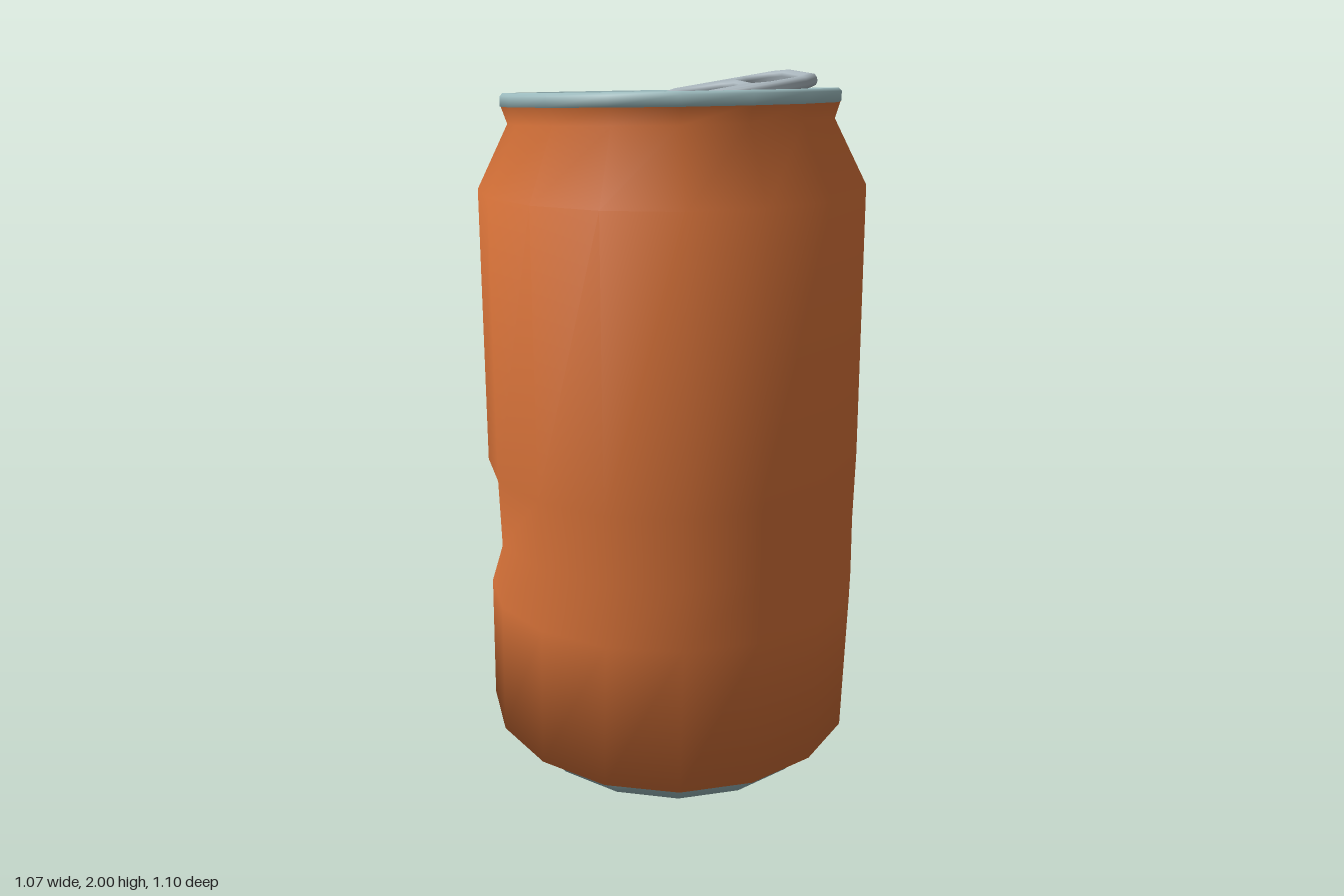
import * as THREE from 'three';
import { toCreasedNormals } from 'three/addons/utils/BufferGeometryUtils.js';

const SIDES = 16;
const DENT_ANGLE = Math.PI + 0.45; // back, turned toward -x
const DENT_SPREAD = 1.36;

// One 16-sided section: half width, front z, back z, height at z = 0, tilt along z, dent depth.
function ring([half, front, back, y, tilt, dent = 0]) {
  const points = [];
  const k = 1 / Math.cos(Math.PI / SIDES);
  for (let i = 0; i < SIDES; i++) {
    const a = ((i + 0.5) / SIDES) * Math.PI * 2;
    // the dent pushes the wall inward, fading out to both sides
    const away = Math.min(Math.abs(a - DENT_ANGLE) / DENT_SPREAD, 1);
    const push = dent * Math.cos((away * Math.PI) / 2);
    const x = (half * k - push) * Math.sin(a);
    const z = (front + back) / 2 + (((front - back) / 2) * k - push) * Math.cos(a);
    points.push([x, y + tilt * z, z]);
  }
  return points;
}

// Skin a list of sections, bottom to top on outward-facing walls, shaded smoothly.
function loft(sections) {
  const rings = sections.map(ring);
  const pos = [];
  for (let r = 0; r < rings.length - 1; r++) {
    for (let i = 0; i < SIDES; i++) {
      const j = (i + 1) % SIDES;
      const a = rings[r][i], b = rings[r][j];
      const c = rings[r + 1][j], d = rings[r + 1][i];
      if (sections[r][0] > 0) pos.push(...a, ...b, ...c);
      if (sections[r + 1][0] > 0) pos.push(...a, ...c, ...d);
    }
  }
  const geo = new THREE.BufferGeometry();
  geo.setAttribute('position', new THREE.Float32BufferAttribute(pos, 3));
  return toCreasedNormals(geo, 2);
}

// Rectangle with cut corners
function chamfered(Type, x0, x1, h, c) {
  return new Type([
    [x0 + c, -h], [x1 - c, -h], [x1, -h + c], [x1, h - c],
    [x1 - c, h], [x0 + c, h], [x0, h - c], [x0, -h + c],
  ].map(([x, y]) => new THREE.Vector2(x, y)));
}

export function createModel() {
  const group = new THREE.Group();
  const add = (name, geo, color) => {
    const mesh = new THREE.Mesh(geo, new THREE.MeshStandardMaterial({ color, side: THREE.DoubleSide }));
    mesh.name = name;
    group.add(mesh);
    return mesh;
  };
  const metal = 0x9dbcbf;
  const TOP = 0.065; // lid tilt
  const LOW = -0.0755; // base tilt

  // Painted wall with the dent low on the back
  add('canBody', loft([
    [0.47, 0.455, -0.49, 0.108, LOW],
    [0.535, 0.51, -0.55, 0.108, LOW],
    [0.535, 0.55, -0.52, 0.51, 0.02],
    [0.535, 0.55, -0.53, 0.7, 0, 0.165],
    [0.535, 0.55, -0.495, 0.9, 0],
    [0.535, 0.55, -0.51, 1.69, 0.02],
    [0.447, 0.447, -0.44, 1.87, TOP],
    [0.463, 0.46, -0.46, 1.918, TOP],
  ]), 0xd97339);

  // Foot and domed underside
  add('base', loft([
    [0, -0.025, -0.025, 0.09, LOW],
    [0.42, 0.395, -0.445, 0.055, LOW],
    [0.45, 0.43, -0.48, 0.038, -0.088],
    [0.473, 0.455, -0.49, 0.108, LOW],
  ]), metal);

  // Rolled rim and dished lid
  add('lid', loft([
    [0.455, 0.455, -0.455, 1.912, TOP],
    [0.465, 0.463, -0.463, 1.918, TOP],
    [0.465, 0.463, -0.463, 1.945, TOP],
    [0.457, 0.455, -0.455, 1.953, TOP],
    [0.435, 0.435, -0.435, 1.953, TOP],
    [0.42, 0.42, -0.42, 1.905, TOP],
    [0, 0, 0, 1.875, TOP],
  ]), metal);

  // Dark drinking hole lying on the lid
  const hole = add('opening', new THREE.CircleGeometry(0.162, 18), 0x151515);
  hole.rotation.x = -Math.PI / 2 - Math.atan(TOP);
  hole.position.set(-0.18, 1.903, 0);

  // Rounded pull tab, raised at its outer end
  const shape = chamfered(THREE.Shape, 0, 0.4, 0.142, 0.045);
  shape.holes.push(
    chamfered(THREE.Path, 0.035, 0.195, 0.06, 0.028),
    chamfered(THREE.Path, 0.232, 0.355, 0.108, 0.03),
  );
  const tabGeo = new THREE.ExtrudeGeometry(shape, {
    depth: 0.01, bevelThickness: 0.014, bevelSize: 0.016, bevelOffset: -0.016, bevelSegments: 2,
  });
  tabGeo.rotateX(-Math.PI / 2);
  const tab = add('pullTab', toCreasedNormals(tabGeo, 1.2), 0xa9b5bc);
  tab.rotation.z = Math.atan(0.15);
  tab.position.set(-0.005, 1.919, 0);

  return group;
}
